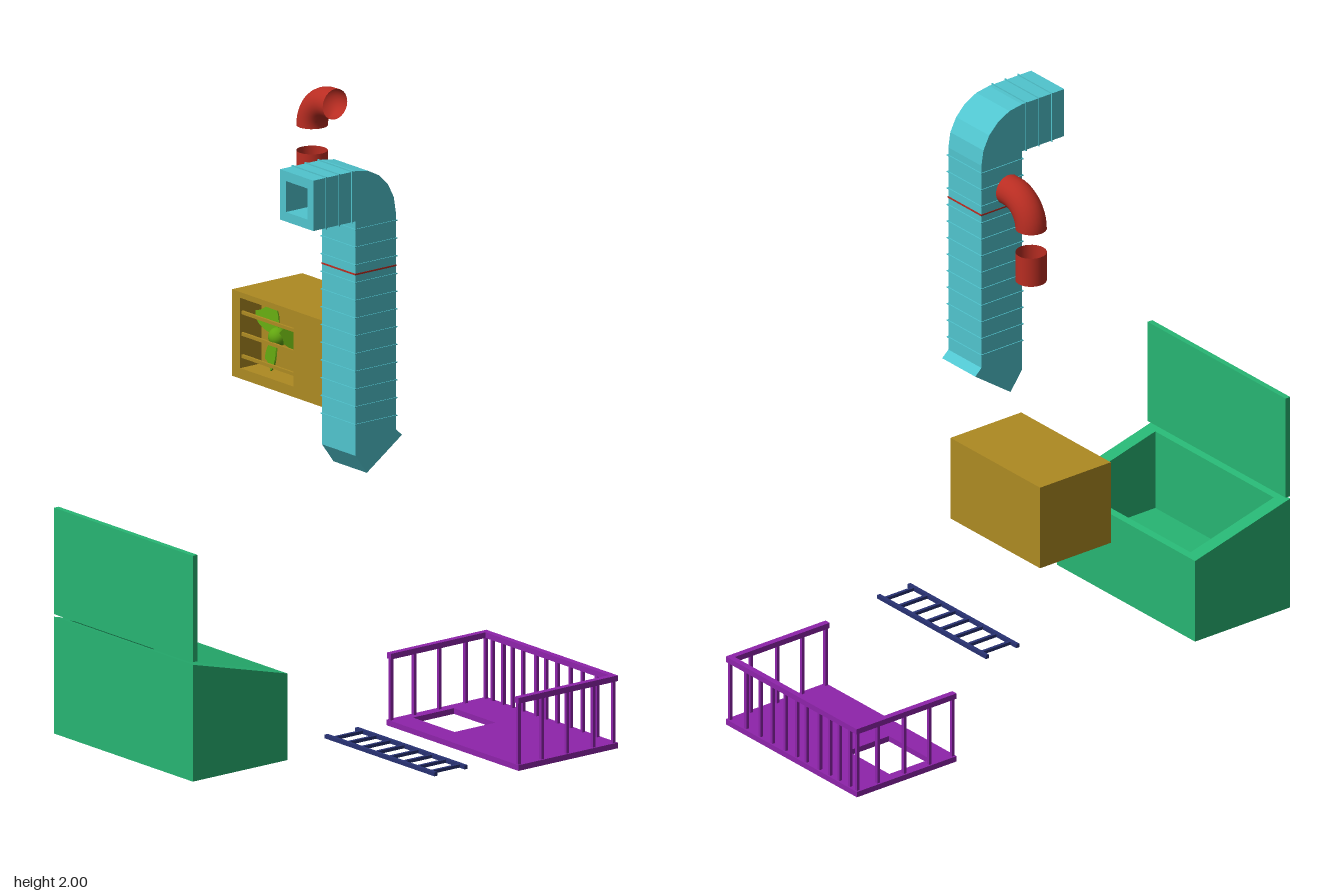
import * as THREE from 'three';

const mat = (name, color, side = THREE.FrontSide) => {
  const m = new THREE.MeshStandardMaterial({ color, side });
  m.name = name;
  return m;
};

export function createModel() {
  const model = new THREE.Group();
  const red = mat('pipe red', 0xb92d22, THREE.DoubleSide);
  const cyan = mat('duct cyan', 0x50c4ce, THREE.DoubleSide);
  const ochre = mat('unit ochre', 0xad8a22);
  const lime = mat('fan green', 0x62a510, THREE.DoubleSide);
  const green = mat('bin green', 0x27b573);
  const purple = mat('balcony purple', 0x8e24aa);
  const navy = mat('ladder navy', 0x283273);

  const group = (name) => {
    const g = new THREE.Group();
    g.name = name;
    model.add(g);
    return g;
  };
  const add = (parent, name, geo, material, x = 0, y = 0, z = 0) => {
    const m = new THREE.Mesh(geo, material);
    m.name = name;
    m.position.set(x, y, z);
    parent.add(m);
    return m;
  };
  // Box given by its limits on each axis
  const box = (parent, name, material, x0, x1, y0, y1, z0, z1) =>
    add(parent, name, new THREE.BoxGeometry(x1 - x0, y1 - y0, z1 - z0), material,
      (x0 + x1) / 2, (y0 + y1) / 2, (z0 + z1) / 2);
  const rect = (Type, x0, x1, y0, y1) => new Type(
    [[x0, y0], [x1, y0], [x1, y1], [x0, y1]].map((p) => new THREE.Vector2(...p)));
  // Rectangular plate with a rectangular hole, extruded along z
  const frame = (outer, hole, depth) => {
    const s = rect(THREE.Shape, ...outer);
    s.holes.push(rect(THREE.Path, ...hole));
    return new THREE.ExtrudeGeometry(s, { depth, bevelEnabled: false });
  };

  // Pipe: short straight piece and an elbow
  const pipe = group('pipe');
  const r = 0.048;
  add(pipe, 'straightPipe', new THREE.CylinderGeometry(r, r, 0.095, 24, 1, true), red, -0.32, 1.736, -0.31);
  const elbow = new THREE.TorusGeometry(0.09, r, 24, 12, Math.PI / 2).rotateZ(Math.PI / 2);
  add(pipe, 'elbowPipe', elbow, red, -0.23, 1.863, -0.31);
  add(pipe, 'elbowEnd', new THREE.CylinderGeometry(r, r, 0.02, 24, 1, true).rotateZ(Math.PI / 2), red, -0.22, 1.953, -0.31);

  // Duct: rings given as [half width, outer z, outer y, inner z, inner y]
  const duct = group('duct');
  const h = 0.08, hi = 0.052;
  const rings = [
    [hi, 0.13, 1.918, 0.13, 1.82],
    [hi, 0.251, 1.918, 0.251, 1.82],
    [h, 0.251, 1.949, 0.251, 1.79],
  ];
  for (let i = 0; i <= 5; i++) {
    const a = (i / 5) * Math.PI / 2;
    rings.push([h, 0.087 - 0.158 * Math.sin(a), 1.79 + 0.159 * Math.cos(a), 0.087, 1.79]);
  }
  rings.push(
    [h, -0.071, 1.105, 0.087, 1.05],
    [h, -0.095, 1.083, 0.042, 0.988],
    [hi, -0.07, 1.066, 0.017, 1.005],
    [hi, -0.03, 1.12, 0.05, 1.07],
  );
  const corners = rings.map(([w, zo, yo, zi, yi]) => [[-w, yo, zo], [w, yo, zo], [w, yi, zi], [-w, yi, zi]]);
  const pos = [];
  const quad = (a, b, c, d) => pos.push(...a, ...b, ...c, ...a, ...c, ...d);
  for (let i = 0; i + 1 < corners.length; i++) {
    for (let k = 0; k < 4; k++) {
      const n = (k + 1) % 4;
      quad(corners[i][k], corners[i + 1][k], corners[i + 1][n], corners[i][n]);
    }
  }
  quad(...corners[0]);
  quad(...[...corners[corners.length - 1]].reverse());
  const ductGeo = new THREE.BufferGeometry();
  ductGeo.setAttribute('position', new THREE.Float32BufferAttribute(pos, 3));
  ductGeo.computeVertexNormals();
  add(duct, 'ductShell', ductGeo, cyan, 0.297);

  // Thin seam flanges around the duct
  const flange = frame([-0.083, 0.083, -0.083, 0.083], [-0.078, 0.078, -0.078, 0.078], 0.003);
  for (let i = 0; i < 12; i++) {
    add(duct, 'ductSeam', flange, cyan, 0.297, 1.15 + i * 0.056, 0.008).rotation.x = Math.PI / 2;
  }
  for (const z of [0.1, 0.15, 0.2]) add(duct, 'ductSeam', flange, cyan, 0.297, 1.87, z);
  add(duct, 'ductJoint', frame([-0.081, 0.081, -0.081, 0.081], [-0.078, 0.078, -0.078, 0.078], 0.005),
    red, 0.297, 1.625, 0.008).rotation.x = Math.PI / 2;

  // Air unit: casing with a recessed fan behind a grille
  const unit = group('airUnit');
  box(unit, 'casingBack', ochre, -0.74, -0.307, 0.97, 1.243, -0.613, -0.42);
  add(unit, 'casingFront', frame([-0.74, -0.307, 0.97, 1.243], [-0.70, -0.443, 1.003, 1.225], 0.082), ochre, 0, 0, -0.42);
  box(unit, 'sidePanel', ochre, -0.31, -0.294, 1.005, 1.21, -0.576, -0.373);
  for (const y of [1.04, 1.11, 1.178]) {
    box(unit, 'grilleBar', ochre, -0.70, -0.443, y - 0.005, y + 0.005, -0.35, -0.342);
  }
  const fan = group('fan');
  fan.position.set(-0.565, 1.126, -0.375);
  add(fan, 'fanHub', new THREE.SphereGeometry(0.03, 20, 14), lime);
  const blade = new THREE.Shape();
  blade.moveTo(0.015, -0.012);
  blade.bezierCurveTo(0.05, -0.04, 0.09, -0.04, 0.105, -0.025);
  blade.quadraticCurveTo(0.092, 0.01, 0.105, 0.035);
  blade.bezierCurveTo(0.08, 0.055, 0.045, 0.04, 0.015, 0.012);
  const bladeGeo = new THREE.ExtrudeGeometry(blade, { depth: 0.005, bevelEnabled: false, curveSegments: 8 });
  bladeGeo.rotateX(0.35);
  for (let i = 0; i < 3; i++) {
    add(fan, 'fanBlade', bladeGeo, lime).rotation.z = 0.09 + i * Math.PI * 2 / 3;
  }

  // Bin: sloped walls, raised floor, open underside, upright lid
  const bin = group('bin');
  const X0 = -0.188, X1 = 0.479, Z0 = 0.434, Z1 = 0.804, FLOOR = 0.27;
  const top = (z) => 0.45 + (z - Z0) / (Z1 - Z0) * 0.096;
  // Wall block whose top follows the slope
  const wall = (name, x0, x1, z0, z1) => {
    const s = new THREE.Shape([[-z0, FLOOR], [-z0, top(z0)], [-z1, top(z1)], [-z1, FLOOR]]
      .map((p) => new THREE.Vector2(...p)));
    const g = new THREE.ExtrudeGeometry(s, { depth: x1 - x0, bevelEnabled: false });
    add(bin, name, g.rotateY(Math.PI / 2), green, x0);
  };
  wall('binSide', X0, X0 + 0.047, Z0, Z1);
  wall('binSide', X1 - 0.047, X1, Z0, Z1);
  wall('binFront', X0 + 0.047, X1 - 0.047, 0.778, Z1);
  wall('binBack', X0 + 0.047, X1 - 0.047, Z0, 0.454);
  box(bin, 'binFloor', green, X0 + 0.005, X1 - 0.005, FLOOR, FLOOR + 0.01, Z0 + 0.005, Z1 - 0.005);
  const skirt = frame([X0, X1, -Z1, -Z0], [X0 + 0.008, X1 - 0.008, -Z1 + 0.008, -Z0 - 0.008], FLOOR - 0.177);
  add(bin, 'binSkirt', skirt.rotateX(-Math.PI / 2), green, 0, 0.177, 0);
  box(bin, 'binLid', green, X0, X1, 0.554, 0.89, 0.786, Z1);

  // Balcony: floor with a hatch, railing on three sides
  const balcony = group('balcony');
  const floor = frame([-0.091, 0.543, 0.415, 0.803], [-0.057, 0.143, 0.49, 0.65], 0.018);
  add(balcony, 'balconyFloor', floor.rotateX(-Math.PI / 2), purple);
  const post = (x, z) => box(balcony, 'railPost', purple, x - 0.005, x + 0.005, 0.015, 0.215, z - 0.005, z + 0.005);
  for (const x of [-0.08, 0.533]) {
    box(balcony, 'sideRail', purple, x - 0.01, x + 0.01, 0.212, 0.23, -0.803, -0.415);
    for (const z of [-0.423, -0.513, -0.611, -0.714]) post(x, z);
  }
  box(balcony, 'backRail', purple, -0.09, 0.543, 0.212, 0.23, -0.803, -0.784);
  for (const x of [-0.08, -0.046, 0.005, 0.05, 0.1, 0.164, 0.21, 0.265, 0.328, 0.386, 0.455, 0.533]) post(x, -0.793);

  // Ladder lying flat
  const ladder = group('ladder');
  for (const z of [-0.053, 0.065]) box(ladder, 'ladderRail', navy, 0.21, 0.737, 0.117, 0.129, z - 0.006, z + 0.006);
  for (let i = 0; i < 8; i++) {
    const x = 0.243 + i * 0.0667;
    box(ladder, 'ladderRung', navy, x - 0.005, x + 0.005, 0.118, 0.128, -0.053, 0.065);
  }
  return model;
}
